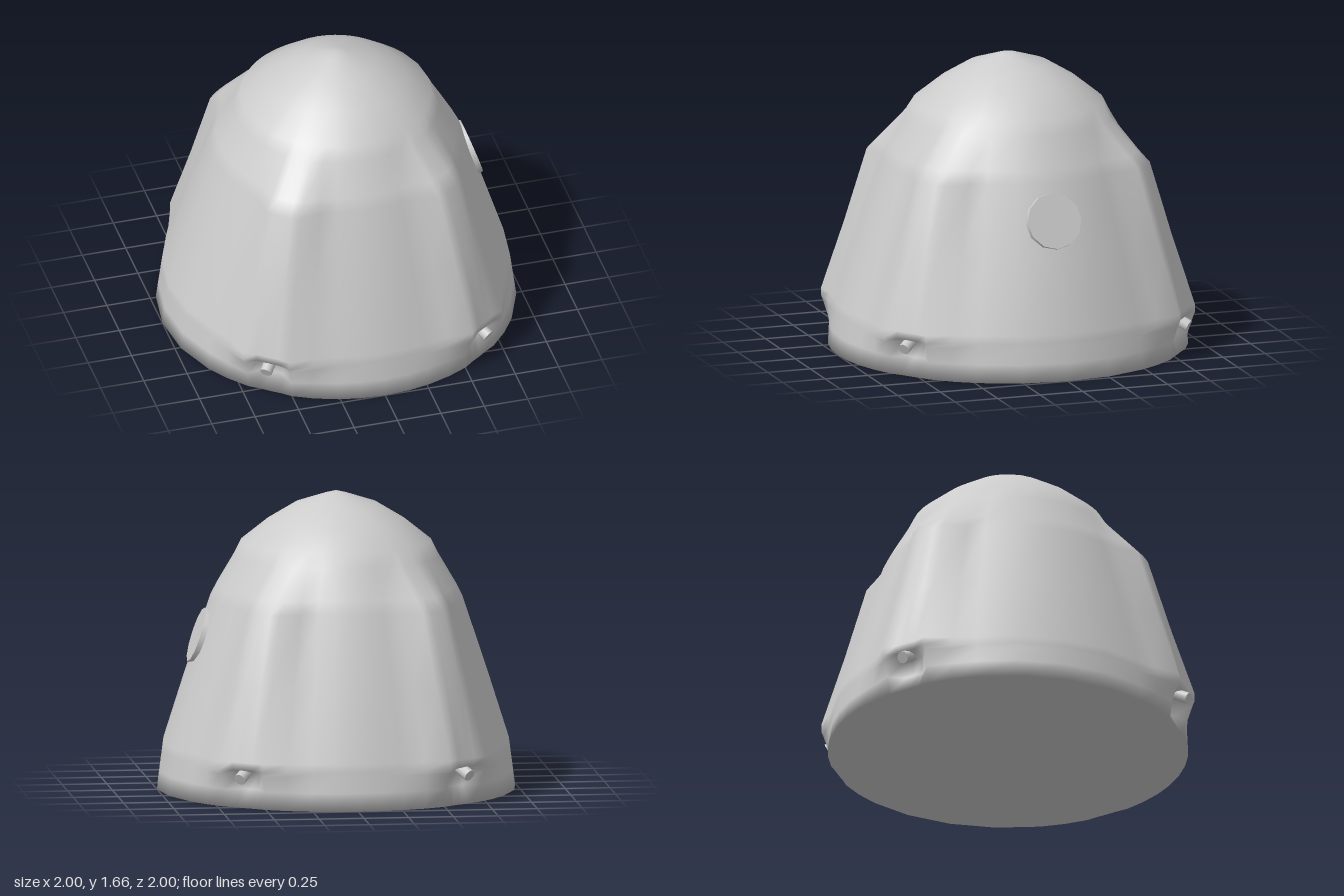
import * as THREE from 'three';

const DEG = Math.PI / 180;
const POD_ANGLE = 37.5 * DEG; // pod direction, measured from the z axis

// Angles of one quadrant, denser around the thruster pod
const QUADRANT = [0, 8, 15, 23, 30, 34, 37.5, 41, 45, 53, 61, 75];

function ringAngles() {
  const q = QUADRANT;
  const back = [...q, 90].reverse().slice(0, -1);
  return [
    ...q.map((a) => [a, a]),
    ...back.map((a) => [180 - a, a]),
    ...q.map((a) => [180 + a, a]),
    ...back.map((a) => [360 - a, a]),
  ];
}

// Rows from the base up: height, plain radius, flank, pod edge and pod middle radius
const ROWS = [
  [0.0, 1.0, 1.0, 1.0, 0.99],
  [0.1, 0.987, 0.995, 1.015, 0.94],
  [0.19, 0.975, 1.0, 1.045, 0.95],
  [0.215, 0.972, 1.0, 1.055, 1.03],
  [0.26, 0.966, 0.99, 1.055, 1.035],
  [0.65, 0.842, 0.86, 0.925, 0.93],
  [1.06, 0.705, 0.72, 0.8, 0.805],
  [1.13, 0.67, 0.685, 0.735, 0.74],
  [1.3, 0.57, 0.57, 0.58, 0.58],
  [1.38, 0.53, 0.53, 0.53, 0.53],
  [1.5, 0.38, 0.38, 0.38, 0.38],
  [1.59, 0.23, 0.23, 0.23, 0.23],
  [1.645, 0.06, 0.06, 0.06, 0.06],
];

// Radius of a row at a folded angle: plain wall, flank, pod edge, pod middle
function rowRadius([, plain, flank, edge, middle], folded) {
  const d = Math.abs(folded - 37.5);
  if (d >= 23) return plain;
  const stops = [[0, middle], [3.5, middle], [7.5, edge], [14.5, flank], [23, plain]];
  const i = stops.findIndex((s) => s[0] > d);
  const [d0, r0] = stops[i - 1];
  const [d1, r1] = stops[i];
  return r0 + ((r1 - r0) * (d - d0)) / (d1 - d0);
}

// Capsule shell: stacked rings closed by an apex and a base
function hullGeometry() {
  const angles = ringAngles();
  const n = angles.length;
  const pos = [];
  const idx = [];
  for (const row of ROWS) {
    for (const [deg, folded] of angles) {
      const r = rowRadius(row, folded);
      pos.push(r * Math.sin(deg * DEG), row[0], r * Math.cos(deg * DEG));
    }
  }
  const apex = ROWS.length * n;
  const base = apex + 1;
  pos.push(0, 1.66, 0, 0, 0, 0);
  const top = (ROWS.length - 1) * n;
  for (let j = 0; j < n; j++) {
    const k = (j + 1) % n;
    for (let i = 0; i < ROWS.length - 1; i++) {
      const lo = i * n;
      const hi = lo + n;
      idx.push(lo + j, lo + k, hi + k, lo + j, hi + k, hi + j);
    }
    idx.push(top + j, top + k, apex);
    idx.push(base, k, j);
  }
  const g = new THREE.BufferGeometry();
  g.setAttribute('position', new THREE.Float32BufferAttribute(pos, 3));
  g.setIndex(idx);
  g.computeVertexNormals();
  return g;
}

export function createModel() {
  const group = new THREE.Group();
  const material = new THREE.MeshStandardMaterial({ color: 0xcccccc });
  const up = new THREE.Vector3(0, 1, 0);

  const hull = new THREE.Mesh(hullGeometry(), material);
  hull.name = 'capsuleHull';
  group.add(hull);

  // Round window lying on the sloping left wall
  const pane = new THREE.Mesh(new THREE.CylinderGeometry(0.157, 0.16, 0.03, 12), material);
  pane.name = 'sideWindow';
  pane.position.set(0.768, 0.86, 0);
  pane.quaternion.setFromUnitVectors(up, new THREE.Vector3(0.3, 0.1, 0).normalize());
  group.add(pane);

  // One small nozzle tucked under the lip of each pod
  for (const sx of [-1, 1]) {
    for (const sz of [-1, 1]) {
      const x = sx * Math.sin(POD_ANGLE);
      const z = sz * Math.cos(POD_ANGLE);
      const nozzle = new THREE.Mesh(new THREE.CylinderGeometry(0.034, 0.034, 0.1, 10), material);
      nozzle.name = 'thrusterNozzle';
      nozzle.position.set(x * 1.01, 0.19, z * 1.01);
      nozzle.quaternion.setFromUnitVectors(up, new THREE.Vector3(x, -0.5, z).normalize());
      group.add(nozzle);
    }
  }
  return group;
}
